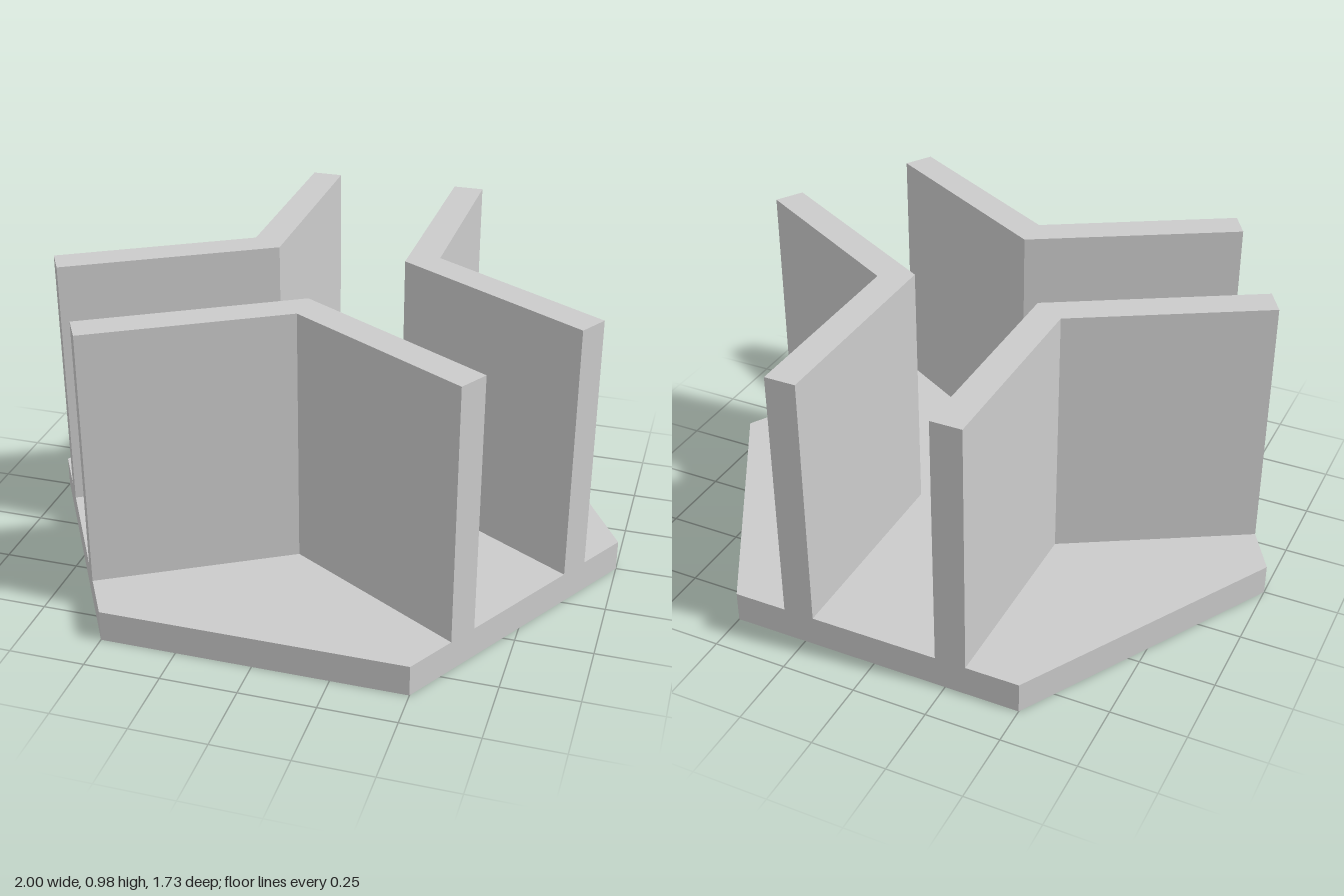
import * as THREE from 'three';

const BASE_TOP = 0.105, TOP = 0.975;
const INNER = 0.25, OUTER = 0.37; // distance of wall corners from the centre
const S3 = Math.sqrt(3);

// Extrude a plan outline given as [x, z] points between two heights
function prism(points, y0, y1) {
  const shape = new THREE.Shape(points.map(([x, z]) => new THREE.Vector2(x, z)));
  const geo = new THREE.ExtrudeGeometry(shape, { depth: y1 - y0, bevelEnabled: false });
  return geo.rotateX(Math.PI / 2).translate(0, y1, 0);
}

// Point where a wall line leaving (0, apex) at 30 degrees meets the hexagon edge
function edgePoint(apex) {
  const x = (S3 - apex) * S3 / 4;
  return [x, S3 * (1 - x)];
}

export function createModel() {
  const model = new THREE.Group();
  model.name = 'hexagonalChannelJunction';
  const material = new THREE.MeshStandardMaterial({ color: 0xcccccc, flatShading: true });

  // Hexagonal base plate with corners on the x axis
  const hexagon = Array.from({ length: 6 }, (_, i) => [Math.cos(i * Math.PI / 3), Math.sin(i * Math.PI / 3)]);
  const base = new THREE.Mesh(prism(hexagon, 0, BASE_TOP), material);
  base.name = 'basePlate';
  model.add(base);

  // Three V-shaped walls leaving a three-way channel between them
  const [ix, iz] = edgePoint(INNER);
  const [ox, oz] = edgePoint(OUTER);
  const wallGeo = prism([[0, INNER], [ix, iz], [ox, oz], [0, OUTER], [-ox, oz], [-ix, iz]], BASE_TOP, TOP);
  ['frontWall', 'backLeftWall', 'backRightWall'].forEach((name, i) => {
    const wall = new THREE.Mesh(wallGeo, material);
    wall.name = name;
    wall.rotation.y = i * 2 * Math.PI / 3;
    model.add(wall);
  });

  return model;
}
